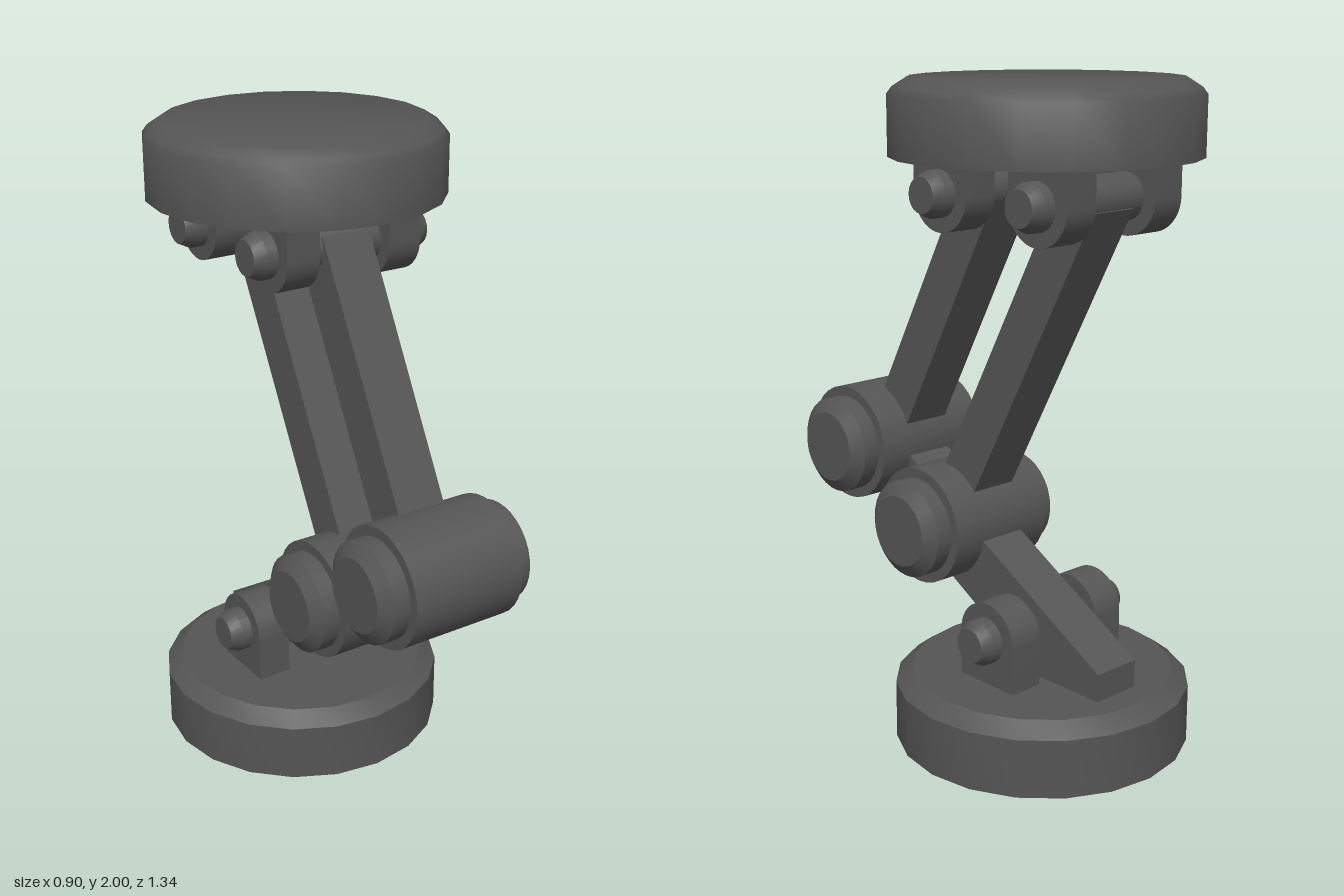
import * as THREE from 'three';
import { toCreasedNormals } from 'three/addons/utils/BufferGeometryUtils.js';

const material = new THREE.MeshStandardMaterial({ color: 0x555555 });

export function createModel() {
  const model = new THREE.Group();
  model.name = 'articulatedArm';

  const add = (name, geometry, x = 0, y = 0, z = 0) => {
    const mesh = new THREE.Mesh(geometry, material);
    mesh.name = name;
    mesh.position.set(x, y, z);
    model.add(mesh);
    return mesh;
  };

  // Turned part: [radius, height] profile from bottom to top
  const turned = (profile, sides, crease = 0.5) =>
    toCreasedNormals(new THREE.LatheGeometry(profile.map(([r, h]) => new THREE.Vector2(r, h)), sides), crease);

  // Turned part lying along x, mirrored end to end from its [radius, half length] steps
  const axle = (steps, sides) => {
    const lower = [...steps].reverse().map(([r, h]) => [r, -h]);
    return turned([...lower, ...steps], sides).rotateZ(Math.PI / 2);
  };

  // Side outline drawn as (z, y), given a thickness along x
  const plate = (shape, thickness) => {
    const g = new THREE.ExtrudeGeometry(shape, { depth: thickness, bevelEnabled: false, curveSegments: 16 });
    g.translate(0, 0, -thickness / 2).rotateY(-Math.PI / 2);
    return toCreasedNormals(g, 0.5);
  };

  // Round plates
  const R = 0.452, Z = -0.218;
  add('basePlate', turned([[0, 0], [R, 0], [R, 0.18], [0.4, 0.22], [0, 0.22]], 20), 0, 0, Z);
  add('topPlate', turned([[0, 1.78], [R, 1.78], [R, 1.955], [0.437, 1.975], [0.397, 2], [0, 2]], 20, 0.9), 0, 0, Z);

  // Pairs of round-ended lugs, each pair carrying a pin
  const lugR = 0.113;
  const lugShape = new THREE.Shape();
  lugShape.moveTo(-lugR, -0.15);
  lugShape.lineTo(lugR, -0.15);
  lugShape.lineTo(lugR, 0);
  lugShape.absarc(0, 0, lugR, 0, Math.PI, false);
  lugShape.lineTo(-lugR, -0.15);
  const lugGeometry = plate(lugShape, 0.11);
  const pinGeometry = axle([[0.07, 0.265], [0.053, 0.3], [0, 0.3]], 20);
  const hinges = [['base', 0.362, -0.215, false], ['topFront', 1.672, -0.018, true], ['topRear', 1.672, -0.415, true]];
  for (const [name, y, z, hanging] of hinges) {
    for (const side of [-1, 1]) {
      const lug = add(name + (side > 0 ? 'LeftLug' : 'RightLug'), lugGeometry, side * 0.175, y, z);
      if (hanging) lug.rotation.x = Math.PI;
    }
    add(name + 'Pin', pinGeometry, 0, y, z);
  }

  // Large barrel joints with stepped, chamfered ends
  const barrel = axle([[0.184, 0.187], [0.153, 0.187], [0.153, 0.24], [0.112, 0.27], [0, 0.27]], 32);
  add('frontJoint', barrel, 0, 0.818, 0.49);
  add('rearJoint', barrel, 0, 0.62, 0.143);

  // Parallel upper struts from the top pins down into the joints
  const strut = (name, y0, z0, y1, z1) => {
    const length = Math.hypot(y1 - y0, z1 - z0);
    const mesh = add(name, new THREE.BoxGeometry(0.16, length, 0.147), 0, (y0 + y1) / 2, (z0 + z1) / 2);
    mesh.rotation.x = Math.atan2(z1 - z0, y1 - y0);
  };
  strut('frontStrut', 0.818, 0.445, 1.68, -0.018);
  strut('rearStrut', 0.62, 0.15, 1.68, -0.418);

  // Sloping lower arm, cut upright at its rear end
  const arm = new THREE.Shape([
    [-0.53, 0.1], [-0.473, 0.1], [0.47, 0.644], [0.47, 0.882], [-0.53, 0.305],
  ].map(([z, y]) => new THREE.Vector2(z, y)));
  add('lowerArm', plate(arm, 0.16));

  return model;
}
